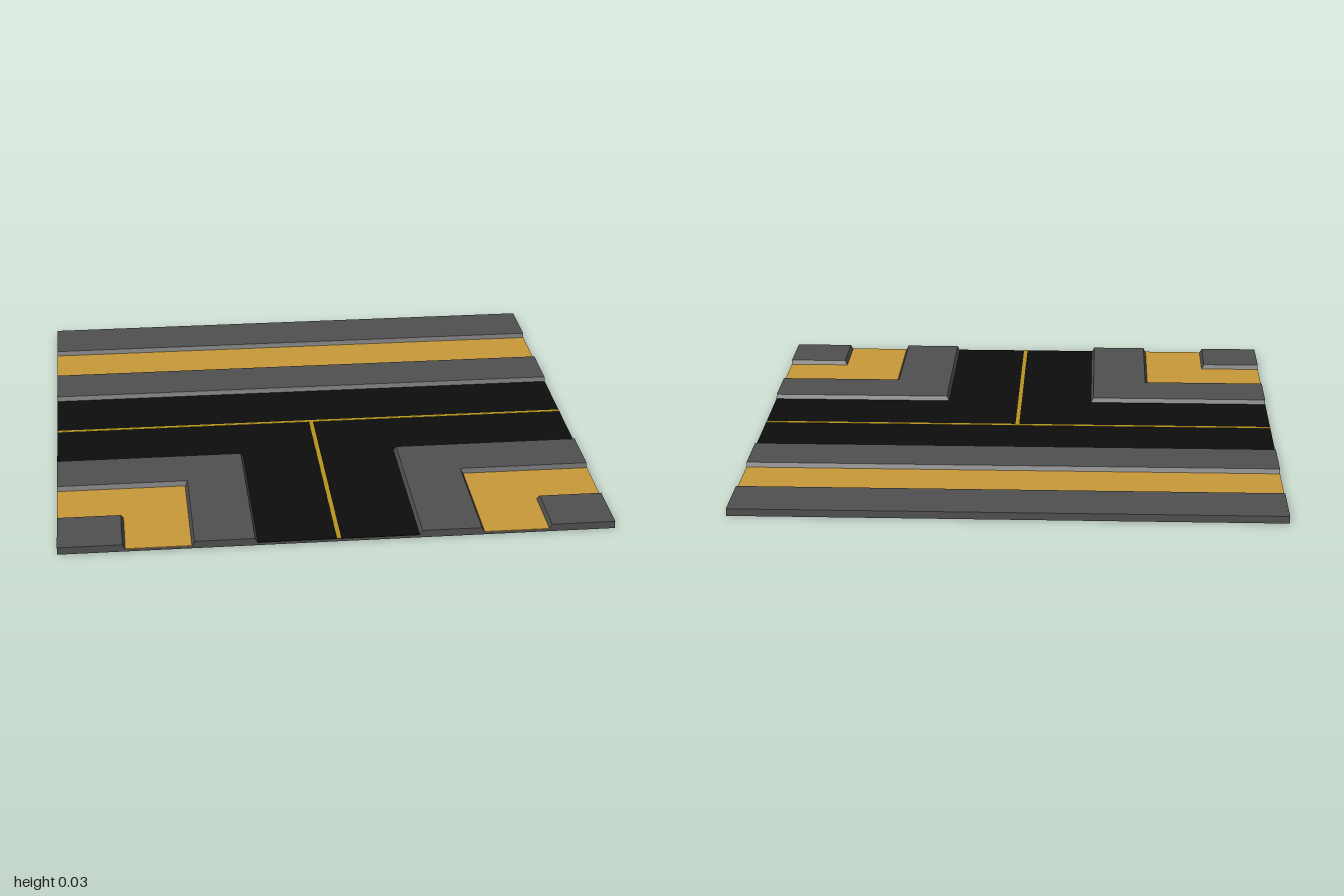
import * as THREE from 'three';

const BASE = 0.009, ROAD = 0.011, TOP = 0.027, SLOPE = 0.01;
// Band limits measured out from the centre of the tile
const KERB = 0.29, VERGE = 0.525, INNER = 0.76;

const grey = new THREE.MeshStandardMaterial({ color: 0x505050, flatShading: true });
const black = new THREE.MeshStandardMaterial({ color: 0x0d0d0d, flatShading: true });
const gold = new THREE.MeshStandardMaterial({ color: 0xc89a38, flatShading: true });
const yellow = new THREE.MeshStandardMaterial({ color: 0xb8951a, flatShading: true });

// Flat box between x0..x1, z0..z1 and y0..y1
function box(name, material, x0, x1, z0, z1, y0, y1) {
  const mesh = new THREE.Mesh(new THREE.BoxGeometry(x1 - x0, y1 - y0, z1 - z0), material);
  mesh.position.set((x0 + x1) / 2, (y0 + y1) / 2, (z0 + z1) / 2);
  mesh.name = name;
  return mesh;
}

// Raised slab from a counter-clockwise outline of [x, -z] points;
// sides slope inwards except along the border of the tile
function slab(name, outline) {
  const pts = outline.map(([x, y]) => new THREE.Vector2(x, y));
  const n = pts.length;
  const edgeShift = pts.map((a, i) => {
    const b = pts[(i + 1) % n];
    const onBorder = (a.x === b.x && Math.abs(a.x) === 1) || (a.y === b.y && Math.abs(a.y) === 1);
    const d = b.clone().sub(a).normalize();
    return new THREE.Vector2(-d.y, d.x).multiplyScalar(onBorder ? 0 : SLOPE);
  });
  const geo = new THREE.ExtrudeGeometry(new THREE.Shape(pts), { depth: TOP - BASE, bevelEnabled: false });
  const pos = geo.attributes.position;
  for (let v = 0; v < pos.count; v++) {
    if (pos.getZ(v) < 0.001) continue;
    const x = pos.getX(v), y = pos.getY(v);
    const i = pts.findIndex(p => Math.hypot(p.x - x, p.y - y) < 1e-4);
    const s = edgeShift[i].clone().add(edgeShift[(i + n - 1) % n]);
    pos.setXY(v, x + s.x, y + s.y);
  }
  geo.rotateX(-Math.PI / 2);
  geo.translate(0, BASE, 0);
  geo.computeVertexNormals();
  const mesh = new THREE.Mesh(geo, grey);
  mesh.name = name;
  return mesh;
}

export function createModel() {
  const tile = new THREE.Group();
  tile.name = 'roadJunctionTile';
  tile.add(box('base', grey, -1, 1, -1, 1, 0, BASE));

  // T-shaped road surface
  tile.add(box('mainRoad', black, -1, 1, -KERB, KERB, BASE, ROAD));
  tile.add(box('sideRoad', black, -KERB, KERB, KERB, 1, BASE, ROAD));

  // Centre lines
  const w = 0.0075, lineTop = ROAD + 0.001;
  tile.add(box('mainCentreLine', yellow, -1, 1, -w, w, ROAD, lineTop));
  tile.add(box('sideCentreLine', yellow, -w, w, w, 1, ROAD, lineTop));

  // Straight pavement and verge along the back
  tile.add(slab('backKerbPavement', [[-1, KERB], [1, KERB], [1, VERGE], [-1, VERGE]]));
  tile.add(box('backVerge', gold, -1, 1, -INNER, -VERGE, BASE, ROAD));
  tile.add(slab('backOuterPavement', [[-1, INNER], [1, INNER], [1, 1], [-1, 1]]));

  // Two front corners, mirrored about x = 0
  for (const s of [1, -1]) {
    const side = s > 0 ? 'left' : 'right';
    const mirror = pts => (s > 0 ? pts : pts.map(([x, y]) => [-x, y]).reverse());
    tile.add(slab(side + 'CornerPavement', mirror([
      [KERB, -1], [VERGE, -1], [VERGE, -VERGE], [1, -VERGE], [1, -KERB], [KERB, -KERB],
    ])));
    const span = (a, b) => (s > 0 ? [a, b] : [-b, -a]);
    tile.add(box(side + 'VergeAcross', gold, ...span(VERGE, 1), VERGE, INNER, BASE, ROAD));
    tile.add(box(side + 'VergeAlong', gold, ...span(VERGE, INNER), INNER, 1, BASE, ROAD));
    tile.add(slab(side + 'InnerPavement', mirror([[INNER, -1], [1, -1], [1, -INNER], [INNER, -INNER]])));
  }
  return tile;
}
